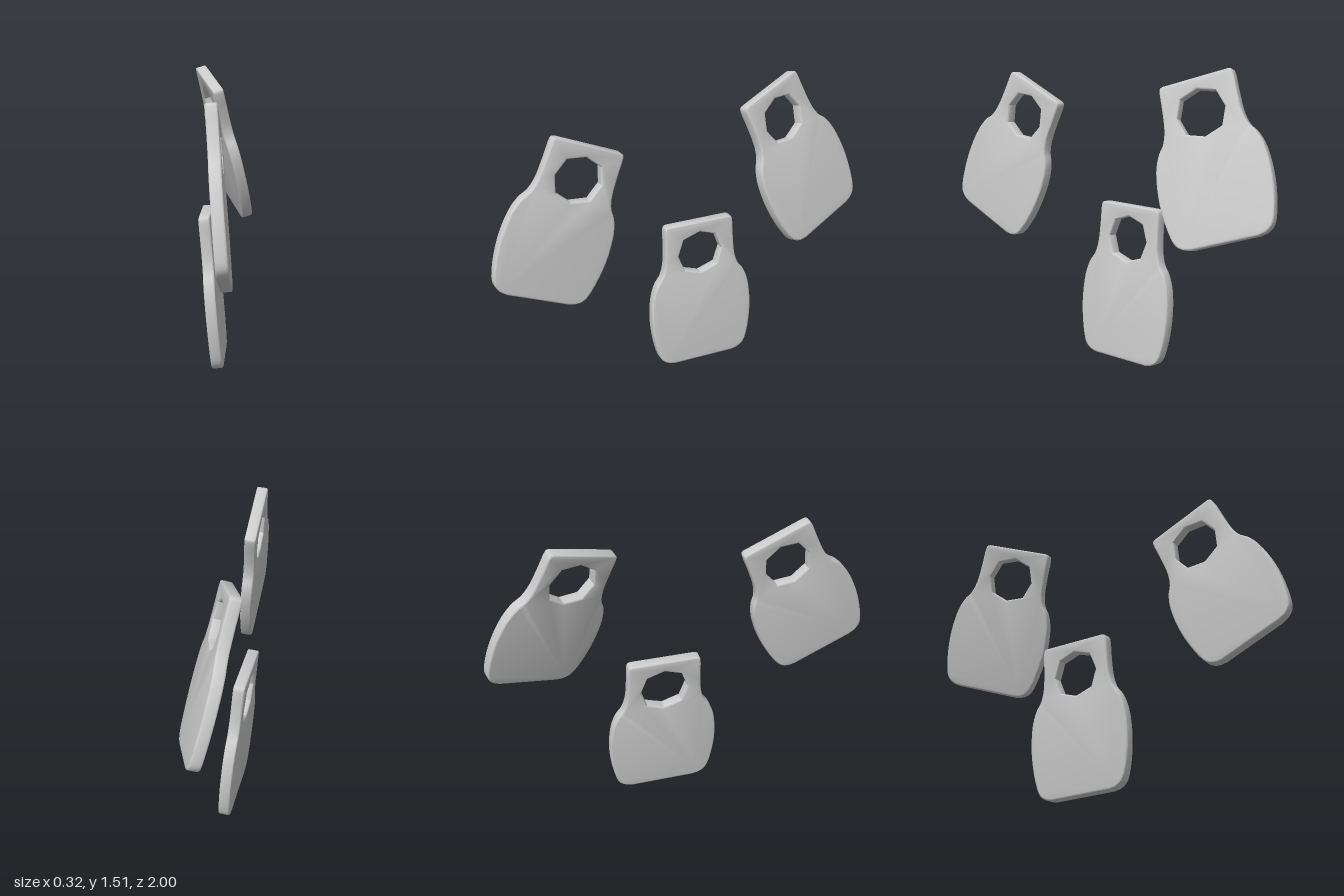
import * as THREE from 'three';
import { toCreasedNormals } from 'three/addons/utils/BufferGeometryUtils.js';

const HEIGHT = 0.797, THICKNESS = 0.058, BEVEL = 0.008;

// Flat tag: wide rounded body, narrow neck, eight-sided hole.
// Origin at the middle of the bottom edge, thickness along z.
function tagGeometry() {
  const side = [
    [0.165, 0], [0.205, 0.01], [0.238, 0.035], [0.262, 0.1], [0.2825, 0.25], [0.272, 0.4],
    [0.246, 0.475], [0.215, 0.52], [0.197, 0.58], [0.19, 0.68], [0.188, 0.77], [0.183, 0.79], [0.168, HEIGHT],
  ].map(([x, y]) => new THREE.Vector3(x, y, 0));
  const half = new THREE.CatmullRomCurve3(side, false, 'centripetal').getPoints(48)
    .map((p) => new THREE.Vector2(p.x, p.y));
  const mirrored = half.map((p) => new THREE.Vector2(-p.x, p.y)).reverse();
  const shape = new THREE.Shape([...half, ...mirrored]);

  const hole = [];
  for (let i = 0; i < 8; i++) {
    const a = (i * Math.PI) / 4;
    const r = i % 2 ? 0.128 : 0.122;
    hole.push(new THREE.Vector2(Math.cos(a) * r, 0.625 + Math.sin(a) * r * 0.95));
  }
  shape.holes.push(new THREE.Path(hole.reverse()));

  const geometry = new THREE.ExtrudeGeometry(shape, {
    depth: THICKNESS - 2 * BEVEL,
    bevelEnabled: true,
    bevelThickness: BEVEL,
    bevelSize: BEVEL,
    bevelOffset: -BEVEL,
    bevelSegments: 3,
  });
  geometry.translate(0, 0, BEVEL - THICKNESS / 2);
  return toCreasedNormals(geometry, 0.6);
}

export function createModel() {
  const model = new THREE.Group();
  model.name = 'tags';
  const geometry = tagGeometry();
  const material = new THREE.MeshStandardMaterial({ color: 0xcccccc });

  // Each tag: middle of the top edge, upward direction, direction across
  const tags = [
    { name: 'lowerTag', top: [-0.072, 0.796, -0.128], up: [-0.072, 0.793, 0], across: [0, 0, -1] },
    { name: 'frontTag', top: [0, 1.36, 0.467], up: [-0.07, 0.725, -0.315], across: [0, -0.4, -0.917] },
    { name: 'backTag', top: [-0.08, 1.455, -0.51], up: [-0.141, 0.727, 0.289], across: [-0.318, 0.29, -0.9] },
  ];
  for (const { name, top, up, across } of tags) {
    const y = new THREE.Vector3(...up).normalize();
    const z = new THREE.Vector3(...across).cross(y).normalize();
    const x = new THREE.Vector3().crossVectors(y, z);
    const mesh = new THREE.Mesh(geometry, material);
    mesh.name = name;
    mesh.quaternion.setFromRotationMatrix(new THREE.Matrix4().makeBasis(x, y, z));
    mesh.position.set(...top).addScaledVector(y, -HEIGHT);
    model.add(mesh);
  }
  return model;
}
